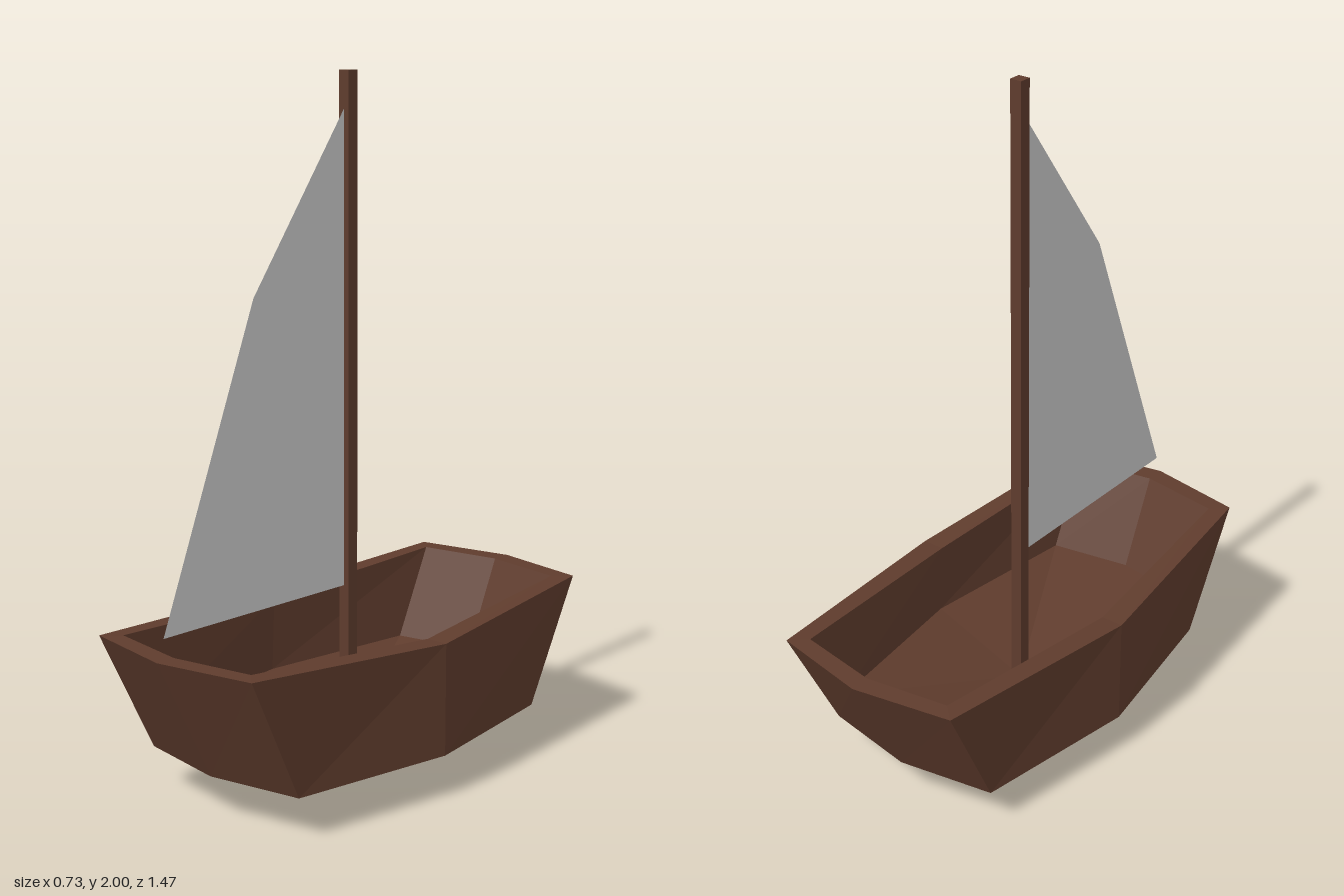
import * as THREE from 'three';

const wood = new THREE.MeshStandardMaterial({ color: 0x5f3c2d, flatShading: true });
const cloth = new THREE.MeshStandardMaterial({ color: 0xcccccc, flatShading: true, side: THREE.DoubleSide });

// Eight-cornered outline, mirrored in x and z: widest amidships, blunt point at each end
function outline(sideX, cornerX, cornerZ, tipZ, sideY, endY) {
  return [
    [sideX, sideY, 0], [cornerX, endY, cornerZ], [0, endY, tipZ], [-cornerX, endY, cornerZ],
    [-sideX, sideY, 0], [-cornerX, endY, -cornerZ], [0, endY, -tipZ], [cornerX, endY, -cornerZ],
  ];
}

// Skin consecutive outlines with flat facets
function skin(loops) {
  const positions = [];
  for (let i = 0; i < loops.length - 1; i++) {
    const a = loops[i], b = loops[i + 1];
    for (let j = 0; j < 8; j++) {
      const k = (j + 1) % 8;
      if (i < loops.length - 2) positions.push(...a[j], ...b[j], ...a[k]);
      if (i > 0 && i < loops.length - 2) positions.push(...b[j], ...b[k], ...a[k]);
      else if (i === 0) positions.splice(-9, 9, ...b[j], ...b[k], ...a[k]);
      else positions.push(...a[j], ...b[j], ...a[k]);
    }
  }
  const geometry = new THREE.BufferGeometry();
  geometry.setAttribute('position', new THREE.Float32BufferAttribute(positions, 3));
  geometry.computeVertexNormals();
  return geometry;
}

export function createModel() {
  const model = new THREE.Group();
  const add = (name, geometry, material) => {
    const mesh = new THREE.Mesh(geometry, material);
    mesh.name = name;
    model.add(mesh);
    return mesh;
  };

  // Hull: keel point, chine, outer rim, inner rim, floor edge, floor centre
  add('hull', skin([
    outline(0, 0, 0, 0, 0, 0),
    outline(0.367, 0.285, 0.5, 0.55, 0.125, 0.125),
    outline(0.367, 0.296, 0.68, 0.735, 0.45, 0.49),
    outline(0.3, 0.248, 0.635, 0.675, 0.45, 0.49),
    outline(0.31, 0.248, 0.51, 0.553, 0.225, 0.225),
    outline(0, 0, 0, 0, 0.11, 0.11),
  ]), wood);

  // Mast
  add('mast', new THREE.BoxGeometry(0.036, 1.91, 0.036), wood).position.y = 1.045;

  // Sail: a thin sheet running from the mast towards the bow
  const sail = new THREE.Shape([[0, 0.55], [0.71, 0.55], [0.37, 1.41], [0, 1.92]]
    .map(([z, y]) => new THREE.Vector2(z, y)));
  add('sail', new THREE.ShapeGeometry(sail).rotateY(-Math.PI / 2), cloth);

  return model;
}
